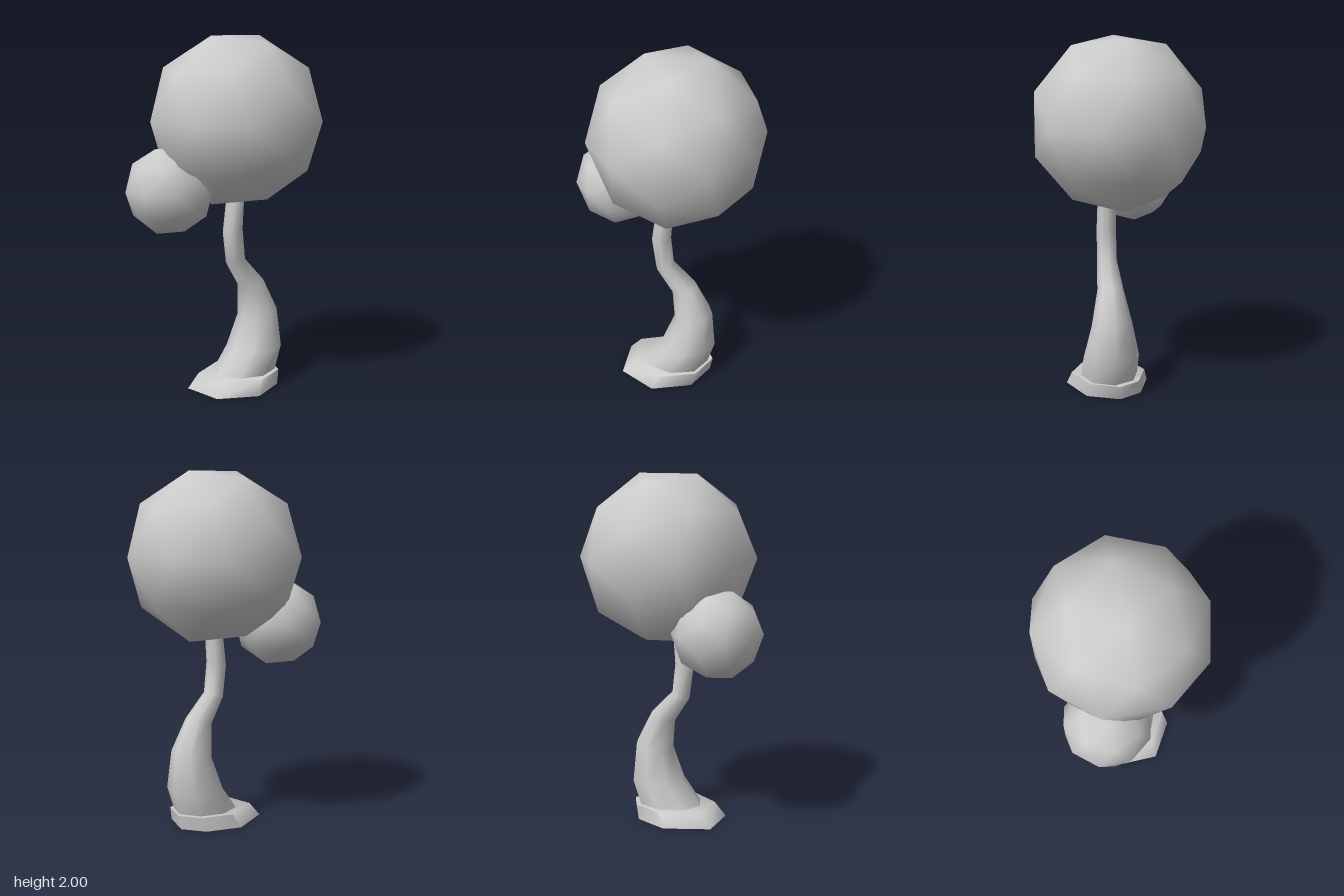
import * as THREE from 'three';
import { toCreasedNormals } from 'three/addons/utils/BufferGeometryUtils.js';
import { ConvexGeometry } from 'three/addons/geometries/ConvexGeometry.js';

const material = new THREE.MeshStandardMaterial({ color: 0xcccccc });

// Joins closed rings of points, bottom to top, and caps both ends
function loft(rings, crease) {
  const n = rings[0].length;
  const points = rings.flat();
  const index = [];
  for (let i = 0; i < rings.length - 1; i++) {
    for (let j = 0; j < n; j++) {
      const a = i * n + j, b = i * n + (j + 1) % n;
      index.push(a, a + n, b, b, a + n, b + n);
    }
  }
  const last = (rings.length - 1) * n;
  for (let j = 1; j < n - 1; j++) {
    index.push(0, j, j + 1);
    index.push(last, last + j + 1, last + j);
  }
  const geometry = new THREE.BufferGeometry().setFromPoints(points);
  geometry.setIndex(index);
  return toCreasedNormals(geometry, crease);
}

// Faceted ball: the corners of a dodecahedron plus a raised point over each face
function ballGeometry(radius) {
  const t = (1 + Math.sqrt(5)) / 2;
  const points = [];
  for (const a of [-1, 1]) {
    for (const b of [-1, 1]) {
      for (const c of [-1, 1]) points.push(new THREE.Vector3(a, b, c));
      points.push(
        new THREE.Vector3(0, a / t, b * t), new THREE.Vector3(a / t, b * t, 0), new THREE.Vector3(b * t, 0, a / t),
        new THREE.Vector3(a * t, b, 0), new THREE.Vector3(0, a * t, b), new THREE.Vector3(b, 0, a * t)
      );
    }
  }
  points.forEach((p) => p.setLength(radius));
  const geometry = new ConvexGeometry(points);
  // Smooth shading, as on a sphere
  const { position, normal } = geometry.attributes;
  const v = new THREE.Vector3();
  for (let i = 0; i < position.count; i++) {
    v.fromBufferAttribute(position, i).normalize();
    normal.setXYZ(i, v.x, v.y, v.z);
  }
  return geometry;
}

export function createModel() {
  const group = new THREE.Group();
  const add = (name, geometry, x = 0, y = 0, z = 0) => {
    const mesh = new THREE.Mesh(geometry, material);
    mesh.name = name;
    mesh.position.set(x, y, z);
    group.add(mesh);
  };

  // Foliage
  add('largeFoliage', ballGeometry(0.499), 0.065, 1.535, 0);
  add('smallFoliage', ballGeometry(0.2525), -0.3, 1.152, -0.143);

  // Trunk: each ring gives its left and right points (x, y) and its half depth
  const trunk = [
    [-0.12, 0.07, 0.27, 0.07, 0.165],
    [0.0, 0.21, 0.315, 0.215, 0.16],
    [0.07, 0.39, 0.295, 0.44, 0.115],
    [0.055, 0.575, 0.2, 0.62, 0.075],
    [-0.04, 0.72, 0.065, 0.755, 0.057],
    [-0.065, 0.9, 0.047, 0.93, 0.056],
    [-0.04, 1.1, 0.06, 1.11, 0.052],
  ].map(([x0, y0, x1, y1, depth]) => {
    const ring = [];
    for (let j = 0; j < 8; j++) {
      const angle = (j / 8) * Math.PI * 2;
      const k = 0.5 + 0.5 * Math.cos(angle);
      ring.push(new THREE.Vector3(x0 + (x1 - x0) * k, y0 + (y1 - y0) * k, 0.06 + depth * Math.sin(angle)));
    }
    return ring;
  });
  add('trunk', loft(trunk, 1.2));

  // Root base: an uneven seven-sided slab, narrower and shifted at the top
  const outline = [[0.26, -0.03], [0.18, 0.15], [-0.04, 0.235], [-0.25, 0.115], [-0.26, -0.13], [-0.01, -0.235], [0.185, -0.16]];
  const baseRing = (x, y, scale) => outline.map(([px, pz]) => new THREE.Vector3(x + px * scale, y, 0.06 + pz * scale));
  add('rootBase', loft([baseRing(0.025, 0, 1), baseRing(0.067, 0.08, 0.9)], 1.15));

  return group;
}
